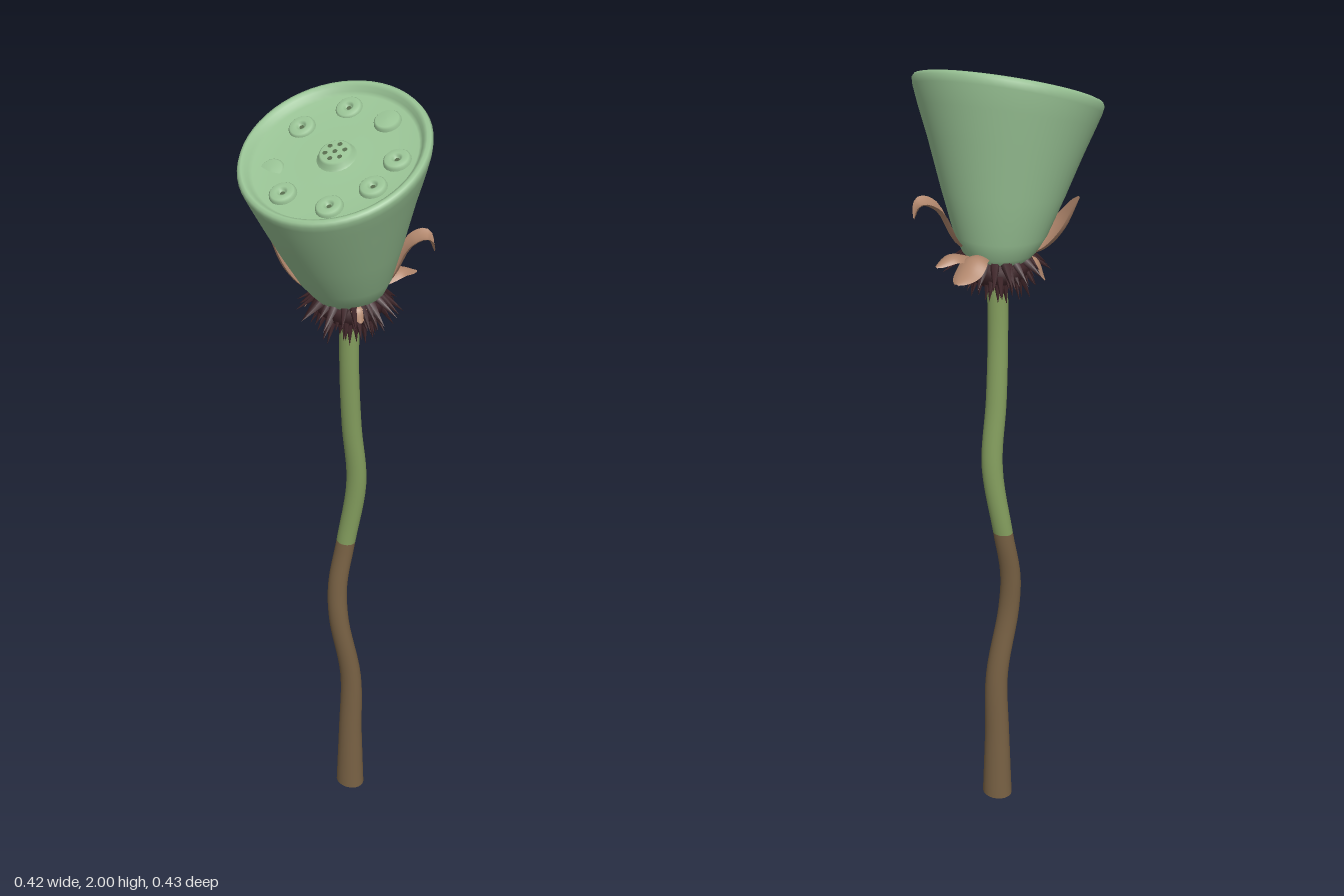
import * as THREE from 'three';
import { mergeGeometries } from 'three/addons/utils/BufferGeometryUtils.js';

const mat = (name, color, side = THREE.FrontSide) => {
  const m = new THREE.MeshStandardMaterial({ color, side });
  m.name = name;
  return m;
};

// Closed rings joined into a smooth skin: { x, y, z, rx, rz, tilt }, bottom to top
function loft(rings, sides) {
  const pos = [], index = [];
  rings.forEach(({ x = 0, y, z, rx, rz = rx, tilt = 0 }, i) => {
    for (let j = 0; j < sides; j++) {
      const a = (j / sides) * Math.PI * 2;
      const d = Math.cos(a) * rz;
      pos.push(x + Math.sin(a) * rx, y - d * Math.sin(tilt), z + d * Math.cos(tilt));
      if (i === rings.length - 1) continue;
      const p = i * sides + j, q = i * sides + (j + 1) % sides;
      index.push(p, q, p + sides, q, q + sides, p + sides);
    }
  });
  const g = new THREE.BufferGeometry();
  g.setAttribute('position', new THREE.Float32BufferAttribute(pos, 3));
  g.setIndex(index);
  g.computeVertexNormals();
  return g;
}

// Petal: a plane bent along a path of [distance out, height], tapered and cupped
function petalGeometry(path, halfWidth, cup) {
  const curve = new THREE.CatmullRomCurve3(path.map(([r, y]) => new THREE.Vector3(0, y, r)));
  const g = new THREE.PlaneGeometry(2, 1, 8, 16);
  const p = g.attributes.position;
  for (let i = 0; i < p.count; i++) {
    const u = p.getX(i), v = p.getY(i) + 0.5;
    const c = curve.getPoint(v), t = curve.getTangent(v);
    const w = halfWidth * Math.pow(Math.sin(Math.PI * (0.1 + 0.88 * Math.pow(v, 1.3))), 0.7);
    const lift = cup * u * u * (w / halfWidth);
    p.setXYZ(i, u * w, c.y + lift * t.z, c.z - lift * t.y);
  }
  g.computeVertexNormals();
  return g;
}

export function createModel() {
  const root = new THREE.Group();
  const podGreen = mat('podGreen', 0x98c294);
  const stemGreen = mat('stemGreen', 0x849e5e);
  const stemBrown = mat('stemBrown', 0x786144);
  const petalBrown = mat('petalBrown', 0xb0866c, THREE.DoubleSide);
  const collarDark = mat('collarDark', 0x40262a);
  const pitDark = mat('pitDark', 0x566b4c);

  const add = (name, geometry, material, parent = root) => {
    const m = new THREE.Mesh(geometry, material);
    m.name = name;
    parent.add(m);
    return m;
  };

  // Wavy stem: centre x, y, z and radius
  const nodes = [
    [0, 0, -0.053, 0.04], [0, 0.2, -0.053, 0.033], [0, 0.4, -0.053, 0.029],
    [-0.024, 0.6, -0.032, 0.027], [-0.03, 0.71, -0.036, 0.026], [-0.018, 0.845, -0.056, 0.025],
    [0.006, 1.03, -0.065, 0.026], [0.001, 1.2, -0.05, 0.025], [0.001, 1.38, -0.038, 0.024],
    [0.004, 1.56, -0.037, 0.025]];
  const path = new THREE.CatmullRomCurve3(nodes.map(n => new THREE.Vector3(n[0], n[1], n[2])));
  const rings = [];
  for (let i = 0; i <= 54; i++) {
    const c = path.getPoint(i / 54), k = Math.min(Math.floor(i / 6), 8);
    const r = THREE.MathUtils.lerp(nodes[k][3], nodes[k + 1][3], i / 6 - k);
    rings.push({ x: c.x, y: c.y, z: c.z, rx: r, rz: r * 0.84 });
  }
  add('lowerStem', loft(rings.slice(0, 31), 20), stemBrown);
  add('upperStem', loft(rings.slice(30), 20), stemGreen);
  const base = add('stemBase', new THREE.CircleGeometry(0.04, 20), stemBrown);
  base.rotation.x = Math.PI / 2;
  base.scale.y = 0.84;
  base.position.z = -0.053;

  // Seed pod: widening cone whose rings tilt towards the front
  const T = 0.42;
  const pod = [
    [1.552, -0.03, 0.03, 0], [1.555, -0.03, 0.068, 0], [1.575, -0.029, 0.086, 0],
    [1.61, -0.023, 0.105, 0.06], [1.7, -0.006, 0.138, 0.15], [1.8, 0.008, 0.172, 0.29],
    [1.86, 0.013, 0.194, 0.37], [1.895, 0.017, 0.206, T], [1.909, 0.021, 0.209, T],
    [1.916, 0.024, 0.205, T], [1.918, 0.025, 0.198, T], [1.914, 0.024, 0.19, T],
    [1.905, 0.02, 0.186, T], [1.9, 0.018, 0.178, T], [1.899, 0.017, 0.12, T],
    [1.899, 0.017, 0.06, T], [1.9, 0.018, 0.001, T]
  ].map(([y, z, rx, tilt]) => ({ y, z, rx, tilt }));
  add('seedPod', loft(pod, 56), podGreen);

  // Seeds set in the tilted face
  const face = new THREE.Group();
  face.name = 'podFace';
  face.position.set(0, 1.899, 0.017);
  face.rotation.x = T;
  root.add(face);
  const lathe = pts => new THREE.LatheGeometry(pts.map(([r, y]) => new THREE.Vector2(r, y)), 24);
  const seedGeo = lathe([[0.031, -0.004], [0.029, 0.006], [0.025, 0.01], [0.013, 0.011], [0.008, 0.008], [0.006, 0.002], [0, 0.001]]);
  const plainGeo = lathe([[0.031, -0.004], [0.029, 0.006], [0.025, 0.01], [0, 0.011]]);
  const pitGeo = new THREE.CircleGeometry(0.0055, 12).rotateX(-Math.PI / 2);
  // x, z, sink, lean, has a pit
  [[-0.045, -0.105, 0.003, 0.12, 1], [0.058, -0.095, 0, 0, 0], [-0.115, -0.03, 0.002, 0.1, 1],
    [0.135, -0.01, 0, 0, 1], [0.125, 0.065, 0, 0, 1], [0.065, 0.135, 0, 0, 1],
    [-0.05, 0.135, 0, 0, 1], [-0.115, 0.085, 0.009, 0.2, 0]
  ].forEach(([x, z, sink, lean, pit]) => {
    const s = new THREE.Group();
    s.name = 'seed';
    s.position.set(x, -sink, (z - 0.017) / Math.cos(T));
    s.rotation.x = lean;
    face.add(s);
    add('seedBody', pit ? seedGeo : plainGeo, podGreen, s);
    if (pit) add('seedPit', pitGeo, pitDark, s).position.y = 0.004;
  });

  // Central cluster with seven pits
  const hub = new THREE.Group();
  hub.name = 'centreCluster';
  hub.position.x = 0.004;
  face.add(hub);
  add('clusterBody', lathe([[0.046, -0.002], [0.039, 0.004], [0.036, 0.012], [0.032, 0.015], [0, 0.016]]), podGreen, hub);
  for (let i = 0; i < 7; i++) {
    const a = (i / 6) * Math.PI * 2, r = i === 6 ? 0 : 0.021;
    add('clusterPit', pitGeo, pitDark, hub).position.set(Math.sin(a) * r, 0.0168, Math.cos(a) * r);
  }

  // Ragged collar: dark core with tiers of drooping strands
  let seed = 7;
  const rand = () => (seed = (seed * 16807) % 2147483647) / 2147483647;
  const parts = [lathe([[0.02, 1.495], [0.05, 1.5], [0.075, 1.525], [0.078, 1.55], [0.062, 1.572], [0.03, 1.575]])];
  for (let tier = 0; tier < 3; tier++) {
    for (let i = 0; i < 26; i++) {
      const len = 0.045 + rand() * 0.03;
      const g = new THREE.ConeGeometry(0.009 + rand() * 0.005, len, 5);
      g.rotateX(Math.PI).translate(0, -len / 2, 0);
      g.rotateX(-(0.15 + tier * 0.28 + rand() * 0.3));
      g.translate(0, 1.525 + tier * 0.018 + rand() * 0.008, 0.048 + tier * 0.009);
      g.rotateY(((i + rand()) / 26) * Math.PI * 2);
      parts.push(g);
    }
  }
  add('collar', mergeGeometries(parts), collarDark).position.set(0.004, 0, -0.036);

  // Withered petals: direction x, z, path, half width, cup
  [
    [0.15, -0.105, [[0.05, 1.56], [0.1, 1.6], [0.14, 1.675], [0.172, 1.69], [0.188, 1.66]], 0.032, 0.012],
    [0.085, -0.15, [[0.05, 1.56], [0.09, 1.58], [0.13, 1.592], [0.174, 1.575]], 0.027, -0.012],
    [0.025, -0.18, [[0.05, 1.575], [0.1, 1.59], [0.14, 1.57], [0.182, 1.555]], 0.033, -0.012],
    [-0.165, 0.075, [[0.05, 1.56], [0.1, 1.575], [0.145, 1.62], [0.178, 1.69]], 0.052, 0.02],
    [-0.08, 0.02, [[0.05, 1.565], [0.085, 1.555], [0.105, 1.505]], 0.018, -0.006],
    [0.07, 0.06, [[0.05, 1.57], [0.085, 1.565], [0.1, 1.535]], 0.018, -0.006]
  ].forEach(([x, z, pts, w, cup]) => {
    const petal = add('petal', petalGeometry(pts, w, cup), petalBrown);
    petal.rotation.y = Math.atan2(x, z);
    petal.position.z = -0.035;
  });

  return root;
}
